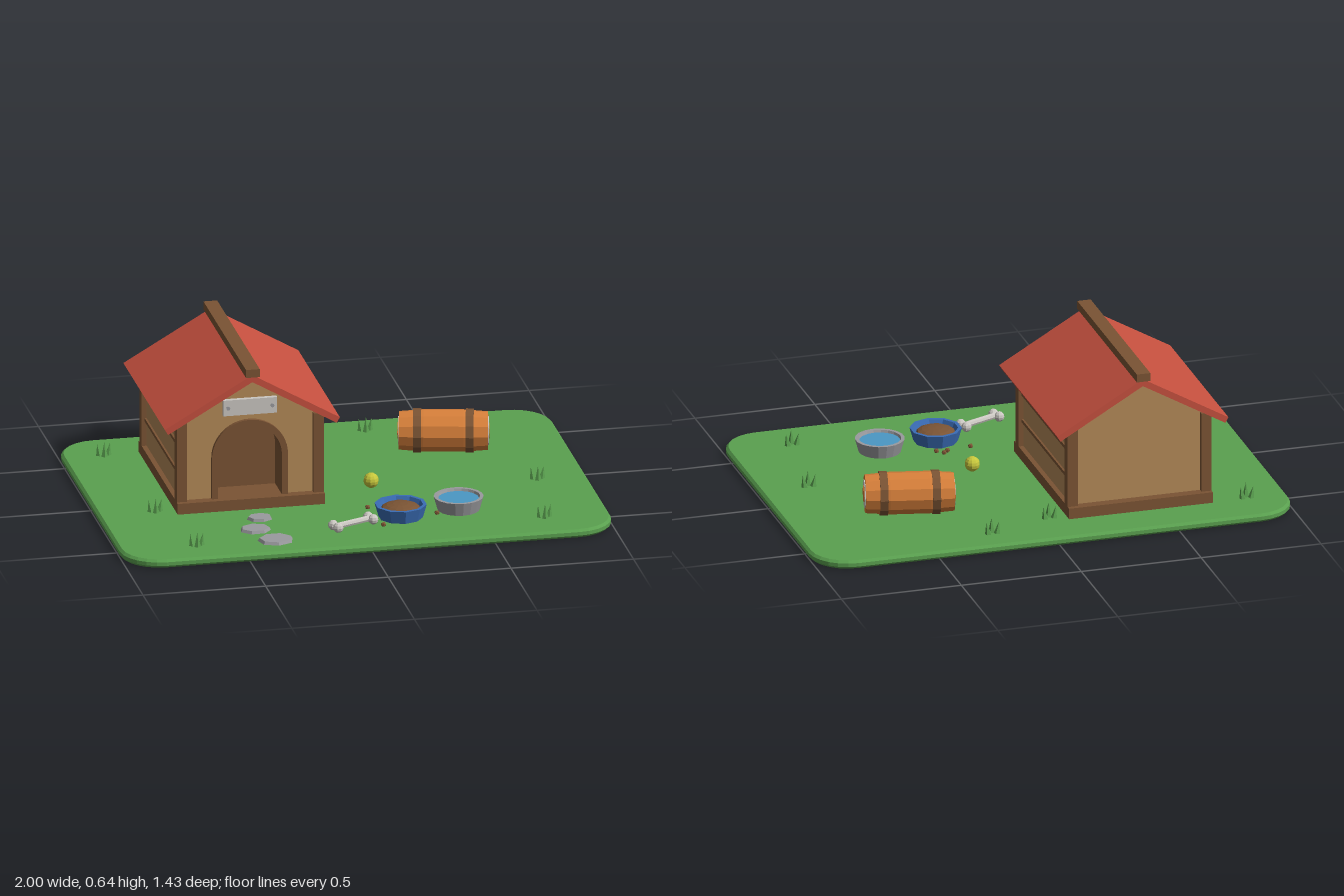
import * as THREE from 'three';

const mat = (name, color) => {
  const m = new THREE.MeshStandardMaterial({ color });
  m.name = name;
  return m;
};

// Faceted normals for low-poly parts
const flat = (g) => {
  const f = g.index ? g.toNonIndexed() : g;
  f.computeVertexNormals();
  return f;
};

const lathe = (pts, sides) =>
  flat(new THREE.LatheGeometry(pts.map(([x, y]) => new THREE.Vector2(x, y)), sides));

function add(parent, name, geo, material, x = 0, y = 0, z = 0) {
  const m = new THREE.Mesh(geo, material);
  m.name = name;
  m.position.set(x, y, z);
  parent.add(m);
  return m;
}

function addGroup(parent, name, x, y, z) {
  const g = new THREE.Group();
  g.name = name;
  g.position.set(x, y, z);
  parent.add(g);
  return g;
}

const box = (w, h, d) => new THREE.BoxGeometry(w, h, d);
const extrude = (shape, depth) =>
  new THREE.ExtrudeGeometry(shape, { depth, bevelEnabled: false, curveSegments: 12 });

// Arch outline: straight jambs with a half-round top
function arch(path, w, bottom, spring) {
  path.moveTo(-w, bottom);
  path.lineTo(w, bottom);
  path.lineTo(w, spring);
  path.absarc(0, spring, w, 0, Math.PI, false);
  path.lineTo(-w, bottom);
  return path;
}

function gable() {
  const s = new THREE.Shape();
  s.moveTo(-0.28, 0.06);
  s.lineTo(0.28, 0.06);
  s.lineTo(0.28, 0.425);
  s.lineTo(0, 0.587);
  s.lineTo(-0.28, 0.425);
  s.closePath();
  return s;
}

export function createModel() {
  const root = new THREE.Group();
  root.name = 'dogYard';
  const green = mat('grass green', 0x5aa04f);
  const red = mat('roof red', 0xc6503f);
  const tan = mat('wall tan', 0xb48a58);
  const wood = mat('dark wood', 0x7b5434);
  const steel = mat('stone grey', 0x9a9a9e);
  const pale = mat('pale grey', 0xcbc7c2);
  const orange = mat('barrel orange', 0xd67f3a);
  const blue = mat('bowl blue', 0x3a6cb5);
  const water = mat('water blue', 0x4b98c4);
  const yellow = mat('ball yellow', 0xc6c63c);
  const top = 0.035;

  // Lawn: rounded slab with chamfered rims
  const W = 0.99, D = 0.705, R = 0.15, lawn = new THREE.Shape();
  lawn.absarc(W - R, D - R, R, 0, Math.PI / 2);
  lawn.absarc(R - W, D - R, R, Math.PI / 2, Math.PI);
  lawn.absarc(R - W, R - D, R, Math.PI, Math.PI * 1.5);
  lawn.absarc(W - R, R - D, R, Math.PI * 1.5, Math.PI * 2);
  const slab = new THREE.ExtrudeGeometry(lawn, {
    depth: 0.015, bevelThickness: 0.01, bevelSize: 0.01, bevelSegments: 1, curveSegments: 3,
  });
  slab.rotateX(-Math.PI / 2);
  add(root, 'lawn', slab, green, 0, 0.01, 0);

  // Kennel: base, walls and recessed arched doorway
  const house = addGroup(root, 'kennel', -0.39, 0, -0.165);
  add(house, 'base', box(0.6, 0.045, 0.75), wood, 0, 0.0575, 0);
  add(house, 'rearWalls', extrude(gable(), 0.55), tan, 0, 0, -0.335);
  const front = gable();
  front.holes.push(arch(new THREE.Path(), 0.148, 0.075, 0.251));
  add(house, 'frontWall', extrude(front, 0.12), tan, 0, 0, 0.215);
  const trim = new THREE.Shape();
  trim.moveTo(0.13, 0.07);
  trim.lineTo(0.155, 0.07);
  trim.lineTo(0.155, 0.251);
  trim.absarc(0, 0.251, 0.155, 0, Math.PI, false);
  trim.lineTo(-0.155, 0.07);
  trim.lineTo(-0.13, 0.07);
  trim.lineTo(-0.13, 0.251);
  trim.absarc(0, 0.251, 0.13, Math.PI, 0, true);
  trim.closePath();
  add(house, 'doorFrame', extrude(trim, 0.133), wood, 0, 0, 0.217);
  add(house, 'doorRecess', extrude(arch(new THREE.Shape(), 0.145, 0.075, 0.251), 0.005), wood, 0, 0, 0.214);

  // Posts, side battens and roof panels, mirrored
  for (const s of [-1, 1]) {
    for (const z of [-0.335, 0.335])
      add(house, 'cornerPost', box(0.042, 0.34, 0.042), wood, s * 0.279, 0.245, z);
    for (const y of [0.19, 0.305])
      add(house, 'sideBatten', box(0.012, 0.014, 0.64), wood, s * 0.282, y, 0);
    const panel = box(0.412, 0.026, 0.795);
    panel.translate(0.206, -0.013, 0);
    const roof = add(house, 'roofPanel', panel, red, 0, 0.612, -0.0025);
    roof.rotation.set(0, s > 0 ? 0 : Math.PI, -Math.PI / 6, 'YXZ');
    const rivet = new THREE.CylinderGeometry(0.008, 0.008, 0.006, 8).rotateX(Math.PI / 2);
    add(house, 'signRivet', rivet, steel, s * 0.09, 0.463, 0.356);
  }
  add(house, 'ridgeBeam', box(0.056, 0.034, 0.815), wood, 0, 0.622, -0.0025);
  add(house, 'signPlate', box(0.22, 0.066, 0.02), pale, 0, 0.463, 0.344);

  // Barrel on its side with two hoops and ringed ends
  const barrel = addGroup(root, 'barrel', 0.5, 0.123, -0.29);
  barrel.rotation.y = -0.22;
  const lying = (g) => g.rotateZ(-Math.PI / 2);
  const profile = [[0, -0.178], [0.078, -0.178], [0.086, -0.08], [0.086, 0.08], [0.078, 0.178], [0, 0.178]];
  add(barrel, 'barrelBody', lying(lathe(profile, 12)), orange);
  for (const s of [-1, 1]) {
    const hoop = lathe([[0.08, -0.016], [0.09, -0.016], [0.09, 0.016], [0.08, 0.016]], 12);
    add(barrel, 'hoop', lying(hoop), wood, s * 0.105);
    add(barrel, 'endRing', lying(flat(new THREE.CylinderGeometry(0.058, 0.058, 0.004, 12))), pale, s * 0.179);
    add(barrel, 'endCentre', lying(flat(new THREE.CylinderGeometry(0.033, 0.033, 0.008, 12))), orange, s * 0.18);
  }

  // Food and water bowls
  const bowl = (r, sides) => lathe(
    [[0, 0], [r * 0.85, 0], [r, 0.055], [r * 0.86, 0.055], [r * 0.74, 0.025], [0, 0.025]], sides);
  const food = addGroup(root, 'foodBowl', 0.175, top, 0.415);
  add(food, 'foodBowlShell', bowl(0.105, 10), blue);
  const heap = new THREE.SphereGeometry(0.08, 12, 4, 0, Math.PI * 2, 0, Math.PI / 2).scale(1, 0.3, 1);
  add(food, 'foodHeap', flat(heap), wood, 0, 0.034, 0);
  const drink = addGroup(root, 'waterBowl', 0.42, top, 0.375);
  add(drink, 'waterBowlShell', bowl(0.1, 18), steel);
  add(drink, 'waterSurface', new THREE.CylinderGeometry(0.083, 0.083, 0.004, 18), water, 0, 0.043, 0);

  // Spilled kibble
  for (const [x, z] of [[0.065, 0.3], [0.165, 0.285], [0.185, 0.265], [0.21, 0.29], [0.322, 0.42], [0.085, 0.51]])
    add(root, 'kibble', flat(new THREE.IcosahedronGeometry(0.011, 0)), wood, x, top + 0.007, z);

  // Bone
  const bone = addGroup(root, 'bone', -0.038, top + 0.025, 0.507);
  bone.rotation.y = 0.4;
  add(bone, 'boneShaft', lying(flat(new THREE.CylinderGeometry(0.013, 0.013, 0.165, 8))), pale);
  for (const x of [-0.085, 0.085])
    for (const z of [-0.018, 0.018])
      add(bone, 'boneKnob', flat(new THREE.SphereGeometry(0.021, 8, 6)), pale, x, 0, z);

  // Ball
  add(root, 'ball', flat(new THREE.SphereGeometry(0.031, 10, 8)), yellow, 0.13, top + 0.031, 0.062);

  // Stepping stones
  for (const [x, z, rx, rz, turn] of [[-0.38, 0.325, 0.052, 0.04, 0.2], [-0.425, 0.45, 0.063, 0.05, 0.5], [-0.37, 0.585, 0.073, 0.061, 0.9]]) {
    const stone = new THREE.CylinderGeometry(0.9, 1, 0.012, 7).rotateY(turn).scale(rx, 1, rz);
    add(root, 'steppingStone', flat(stone), steel, x, top + 0.006, z);
  }

  // Grass tufts
  const tufts = [[-0.835, -0.525], [0.245, -0.59], [-0.02, -0.5], [0.8, 0.1], [-0.77, 0.155], [-0.69, 0.575], [0.735, 0.54]];
  for (const [x, z] of tufts) {
    const tuft = addGroup(root, 'grassTuft', x, top, z);
    for (const [dx, dz, h] of [[-0.022, -0.005, 0.05], [0, 0.012, 0.062], [0.023, -0.006, 0.052]]) {
      const blade = add(tuft, 'grassBlade', flat(new THREE.ConeGeometry(0.014, h, 5)), green, dx, h / 2 - 0.001, dz);
      blade.rotation.z = -dx * 7;
    }
  }
  return root;
}
